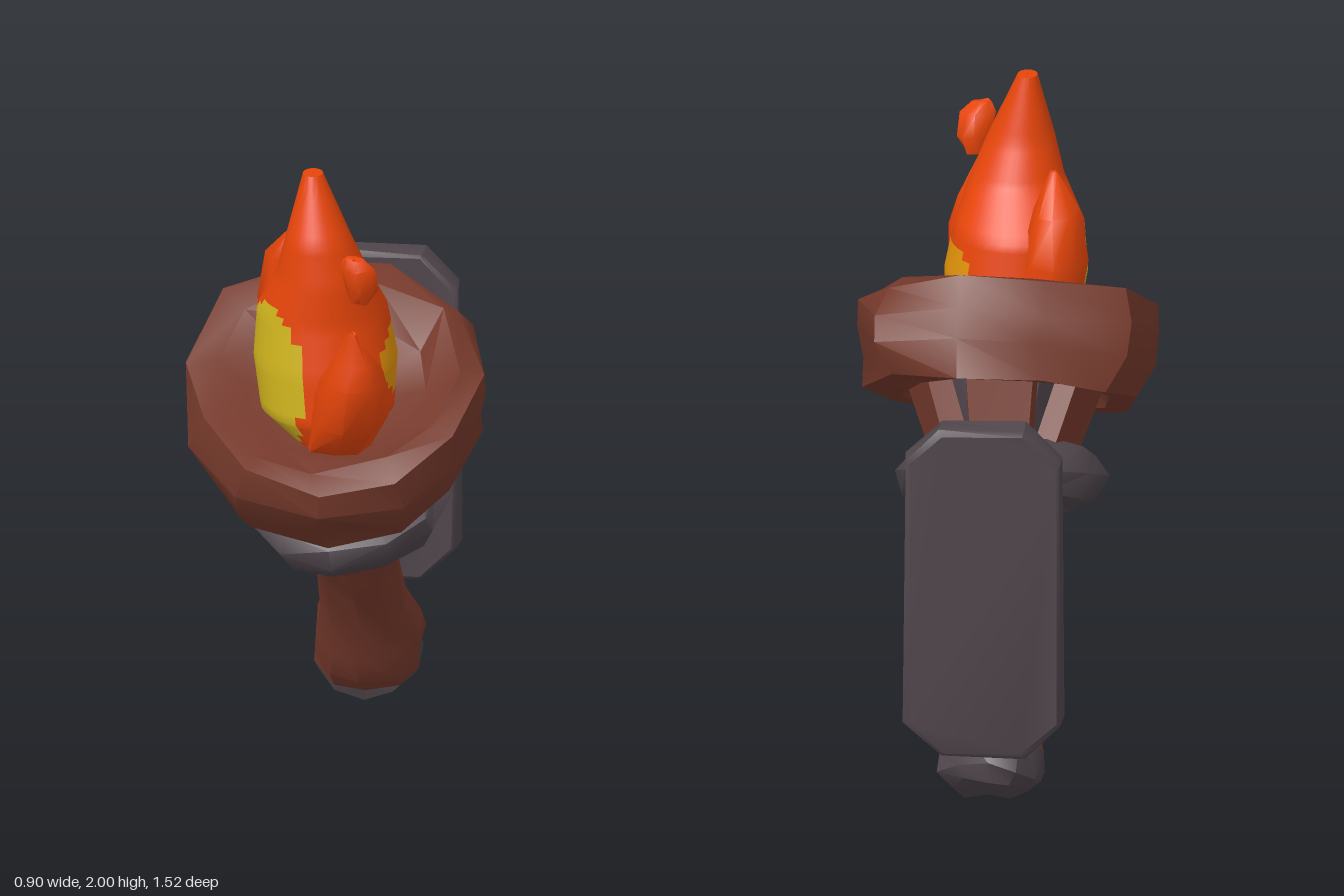
import * as THREE from 'three';
import { toCreasedNormals } from 'three/addons/utils/BufferGeometryUtils.js';

const material = (name, color) => {
  const m = new THREE.MeshStandardMaterial({ color });
  m.name = name;
  return m;
};

// Repeatable offset from a position, so shared corners move together
function noise(x, y, z, k) {
  const q = (v) => Math.round(v * 500);
  const s = Math.sin(q(x) * 12.99 + q(y) * 78.23 + q(z) * 37.72 + k * 19.19) * 43758.5453;
  return s - Math.floor(s) - 0.5;
}

// Move every vertex by a rule that edits a vector
function reshape(geometry, rule) {
  const p = geometry.attributes.position, v = new THREE.Vector3();
  for (let i = 0; i < p.count; i++) {
    rule(v.fromBufferAttribute(p, i));
    p.setXYZ(i, v.x, v.y, v.z);
  }
  return geometry;
}

// Uneven hand-carved surface with soft facets
function carve(geometry, amount, crease = 0.7) {
  return toCreasedNormals(reshape(geometry, (v) => {
    const { x, y, z } = v;
    v.set(x + amount * noise(x, y, z, 1), y + amount * noise(x, y, z, 2), z + amount * noise(x, y, z, 3));
  }), crease);
}

const lathe = (points, sides) =>
  new THREE.LatheGeometry(points.map(([r, y]) => new THREE.Vector2(r, y)), sides);

// Skin over elliptical rings [y, centreX, centreZ, radiusX, radiusZ];
// pick(angle, y) gives the material index of each face
function loft(rings, sides, steps = 1, pick = () => 0) {
  const first = rings[0], last = rings[rings.length - 1];
  const tip = (r) => [r[0], r[1], r[2], 0.002, 0.002];
  const rows = [tip(first)];
  for (let i = 0; i < rings.length - 1; i++) {
    for (let s = 0; s < steps; s++) {
      rows.push(rings[i].map((v, k) => THREE.MathUtils.lerp(v, rings[i + 1][k], s / steps)));
    }
  }
  rows.push(last, tip(last));
  const position = [], faces = [[], [], []];
  for (const [y, cx, cz, rx, rz] of rows) {
    for (let i = 0; i < sides; i++) {
      const a = (i / sides) * Math.PI * 2;
      position.push(cx + rx * Math.cos(a), y, cz + rz * Math.sin(a));
    }
  }
  for (let j = 0; j < rows.length - 1; j++) {
    for (let i = 0; i < sides; i++) {
      const n = (i + 1) % sides, b = j * sides, t = b + sides;
      const angle = ((i + 0.5) / sides) * 360;
      faces[pick(angle, (rows[j][0] + rows[j + 1][0]) / 2)].push(b + i, t + i, b + n, b + n, t + i, t + n);
    }
  }
  const g = new THREE.BufferGeometry();
  g.setAttribute('position', new THREE.Float32BufferAttribute(position, 3));
  g.setIndex(faces.flat());
  let start = 0;
  faces.forEach((f, k) => {
    if (f.length) g.addGroup(start, f.length, k);
    start += f.length;
  });
  return g;
}

export function createModel() {
  const wood = material('brown wood', 0x75392b);
  const iron = material('dark iron', 0x50464c);
  const fire = material('orange flame', 0xf0480a);
  const yellow = material('yellow flame', 0xd0b41e);
  const amber = material('amber flame', 0xe0920a);

  const model = new THREE.Group();
  model.name = 'wallTorch';
  const add = (parent, name, geometry, mat, x = 0, y = 0, z = 0) => {
    const mesh = new THREE.Mesh(geometry, mat);
    mesh.name = name;
    mesh.position.set(x, y, z);
    parent.add(mesh);
    return mesh;
  };

  // Wall plate with clipped corners
  const w = 0.22, h = 0.51, c = 0.1;
  const outline = new THREE.Shape([
    [-w + c, -h], [w - c, -h], [w, -h + c], [w, h - c],
    [w - c, h], [-w + c, h], [-w, h - c], [-w, -h + c],
  ].map(([x, y]) => new THREE.Vector2(x, y)));
  const plate = new THREE.ExtrudeGeometry(outline, {
    depth: 0.08, bevelThickness: 0.015, bevelSize: 0.015, bevelSegments: 1,
  });
  add(model, 'wallPlate', carve(plate, 0.01), iron, 0, 0.785, -0.735);

  // Bolts on the plate
  for (const y of [1.13, 0.41]) {
    const bolt = new THREE.IcosahedronGeometry(0.075, 1).scale(1, 1, 0.85);
    add(model, 'bolt', carve(bolt, 0.015), iron, 0, y, -0.63);
  }

  // Tapered bracket arm
  const arm = reshape(new THREE.BoxGeometry(0.29, 0.28, 0.4), (v) => {
    if (v.z < 0) return;
    v.x *= 0.9;
    if (v.y > 0) v.y = 0.09;
    else v.z = 0.16;
  });
  add(model, 'bracketArm', carve(arm, 0.01), iron, 0, 0.78, -0.45);

  // Leaning handle; the end cap rises higher up the wall side
  const handle = new THREE.Group();
  handle.name = 'handle';
  handle.position.set(0, 0.08, -0.47);
  handle.rotation.x = 0.59;
  model.add(handle);
  const raiseBack = (v) => {
    if (v.y > 0.03 && v.z < 0) v.y -= 0.75 * v.z * THREE.MathUtils.clamp((0.25 - v.y) / 0.21, 0, 1);
  };
  const shaft = lathe([
    [0.162, 0.04], [0.168, 0.1], [0.162, 0.19], [0.132, 0.3], [0.13, 0.5], [0.142, 0.66],
    [0.185, 0.71], [0.19, 0.78], [0.15, 0.83], [0.15, 0.98], [0, 0.98],
  ], 10);
  const cap = lathe([[0, -0.035], [0.115, -0.025], [0.155, 0.01], [0.162, 0.04]], 10);
  add(handle, 'shaft', carve(reshape(shaft, raiseBack), 0.025), wood);
  add(handle, 'endCap', carve(reshape(cap, raiseBack), 0.025), iron);
  add(handle, 'innerCup', carve(lathe([[0.11, 0.9], [0.13, 1.1], [0.18, 1.33]], 8), 0.01), iron);

  // Flaring struts that carry the bowl, wider at the top
  for (let i = 0; i < 5; i++) {
    const strut = new THREE.Group();
    strut.name = 'strut';
    strut.rotation.y = Math.PI + (i / 5) * Math.PI * 2;
    handle.add(strut);
    const board = reshape(new THREE.BoxGeometry(0.23, 0.5, 0.07), (v) => {
      if (v.y < 0) v.x *= 0.7;
    });
    add(strut, 'strutBoard', carve(board, 0.02), wood, 0, 1.08, 0.195).rotation.x = 0.32;
  }

  // Iron collar
  const ring = new THREE.TorusGeometry(0.236, 0.087, 7, 12).rotateX(Math.PI / 2);
  add(model, 'collar', carve(ring, 0.03, 0.9), iron, 0, 0.845, 0.065).rotation.x = 0.5;

  // Chunky wooden bowl with a shallow floor, squarer towards the wall
  const bowl = reshape(lathe([
    [0, -0.05], [0.24, -0.06], [0.3, -0.145], [0.4, -0.145], [0.435, -0.05],
    [0.445, 0.05], [0.42, 0.14], [0.36, 0.15], [0.26, 0.1], [0, 0.085],
  ], 11), (v) => {
    if (v.z > 0) return;
    const f = 1 + 0.12 * Math.abs(Math.sin(2 * Math.atan2(v.x, v.z)));
    v.x *= f;
    v.z *= f * 1.04;
  });
  add(model, 'bowl', carve(bowl, 0.04), wood, 0, 1.17, 0.285).rotation.x = 0.505;

  // Flame with glowing patches on both sides
  const flame = new THREE.Group();
  flame.name = 'flame';
  model.add(flame);
  const inPatch = (a, y, a0, aw, y0, yw) => {
    const d = ((a - a0 + 540) % 360) - 180;
    return (d / aw) ** 2 + ((y - y0) / yw) ** 2 < 1;
  };
  const body = loft([
    [1.17, 0, 0.44, 0.1, 0.13], [1.25, -0.01, 0.39, 0.2, 0.21], [1.4, -0.02, 0.36, 0.215, 0.23],
    [1.55, -0.03, 0.36, 0.195, 0.205], [1.68, -0.02, 0.42, 0.14, 0.14], [1.8, -0.03, 0.44, 0.1, 0.105],
    [2, -0.05, 0.42, 0.03, 0.035],
  ], 36, 6, (a, y) =>
    inPatch(a, y, 146, 48, 1.38, 0.22) ? 1 : inPatch(a, y, 348, 44, 1.4, 0.11) ? 2 : 0);
  add(flame, 'flameBody', toCreasedNormals(body, 0.8), [fire, yellow, amber]);

  const tongues = {
    frontTongue: [
      [1.17, 0.04, 0.51, 0.1, 0.11], [1.28, 0.08, 0.55, 0.12, 0.18],
      [1.43, 0.105, 0.64, 0.1, 0.12], [1.5, 0.11, 0.675, 0.07, 0.075], [1.61, 0.11, 0.72, 0.012, 0.012],
    ],
    backTongue: [
      [1.28, -0.11, 0.22, 0.1, 0.1], [1.5, -0.15, 0.19, 0.1, 0.105],
      [1.65, -0.15, 0.205, 0.07, 0.085], [1.75, -0.14, 0.27, 0.012, 0.012],
    ],
    spark: [
      [1.67, 0.12, 0.615, 0.03, 0.025], [1.72, 0.125, 0.62, 0.05, 0.045],
      [1.79, 0.115, 0.635, 0.05, 0.04], [1.82, 0.105, 0.645, 0.03, 0.02],
    ],
  };
  for (const [name, rings] of Object.entries(tongues)) {
    add(flame, name, carve(loft(rings, 8), 0.01, 1), fire);
  }
  return model;
}
